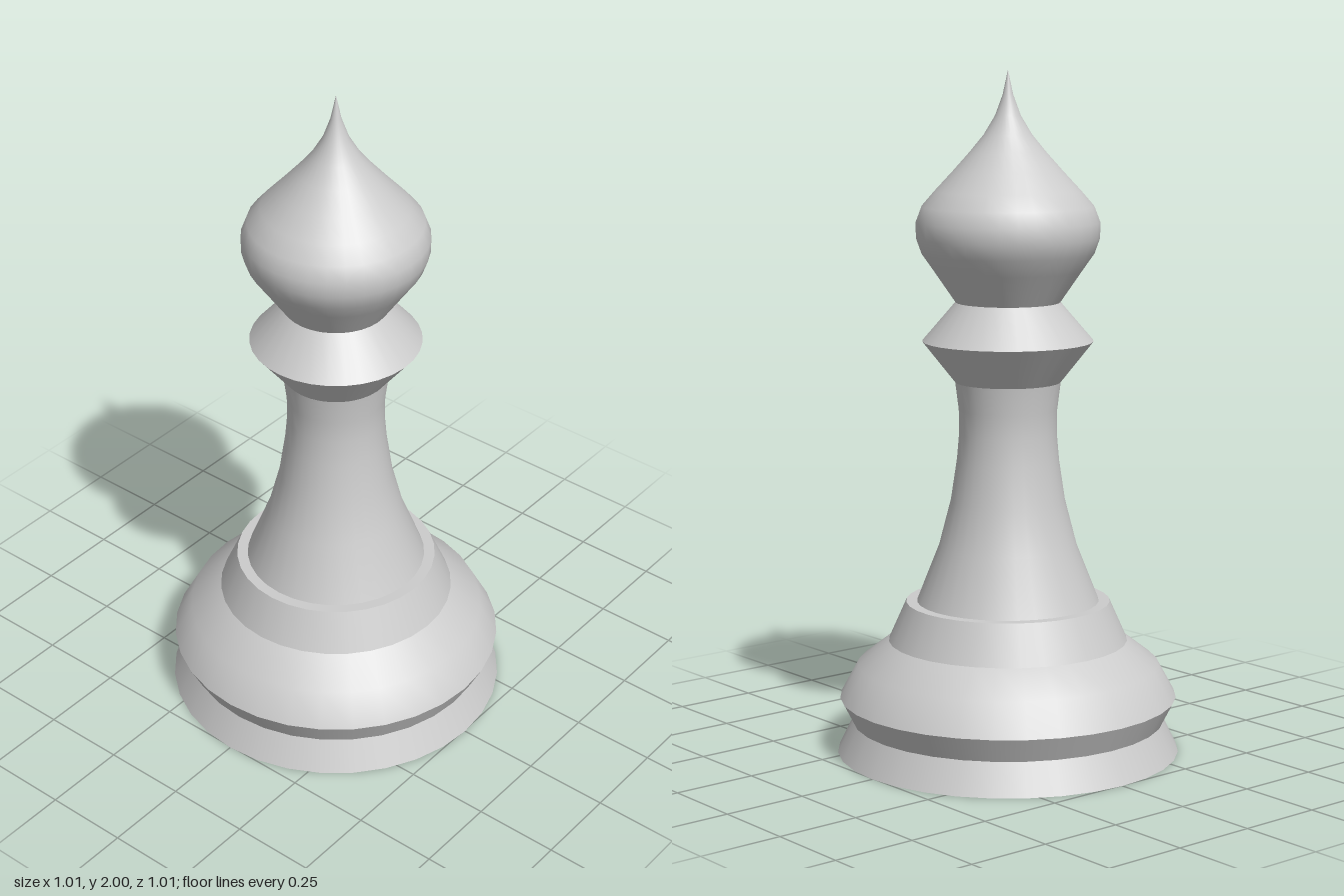
import * as THREE from 'three';

const SIDES = 32;
const material = new THREE.MeshStandardMaterial({ color: 0xcccccc });

// Turns a [radius, height] profile, listed bottom to top, smooth along its length
function turned(name, profile) {
  const points = profile.map(([r, y]) => new THREE.Vector2(r, y));
  const mesh = new THREE.Mesh(new THREE.LatheGeometry(points, SIDES), material);
  mesh.name = name;
  return mesh;
}

export function createModel() {
  const piece = new THREE.Group();
  piece.name = 'chessPiece';

  // Each band is its own surface so the rims between them stay sharp
  piece.add(
    turned('baseUnderside', [[0, 0], [0.505, 0]]),
    turned('baseFoot', [[0.505, 0], [0.46, 0.092]]),
    turned('baseGroove', [[0.46, 0.092], [0.497, 0.165]]),
    turned('baseShoulder', [[0.497, 0.165], [0.444, 0.262], [0.352, 0.333]]),
    turned('baseStep', [[0.352, 0.333], [0.3, 0.45]]),
    turned('baseLedge', [[0.3, 0.45], [0.268, 0.45]]),
    turned('stem', [
      [0.268, 0.45], [0.203, 0.615], [0.168, 0.75], [0.15, 0.87],
      [0.143, 0.95], [0.144, 1.02], [0.154, 1.1],
    ]),
    turned('collarUnderside', [[0.154, 1.1], [0.249, 1.22]]),
    turned('collarTop', [[0.249, 1.22], [0.152, 1.333]]),
    // Onion-shaped head drawn out to a point
    turned('head', [
      [0.152, 1.333], [0.215, 1.425], [0.25, 1.475], [0.266, 1.52],
      [0.267, 1.565], [0.25, 1.61], [0.211, 1.655], [0.16, 1.71],
      [0.111, 1.765], [0.07, 1.815], [0.037, 1.87], [0.015, 1.93], [0, 2],
    ]),
  );
  return piece;
}
